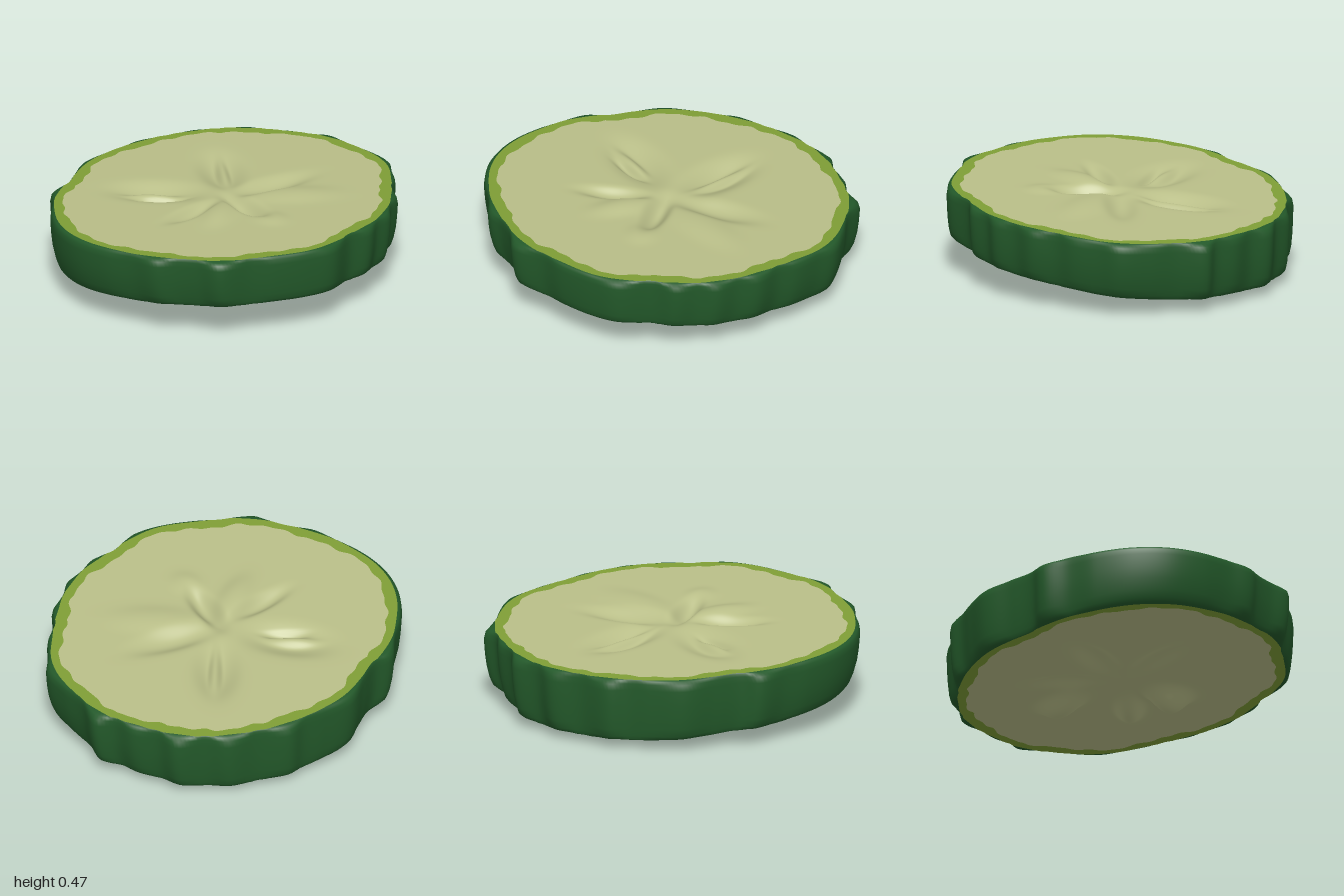
import * as THREE from 'three';

const SEG = 288;

// Knobbly outline of the skin as x, z pairs
const OUTLINE = [
  0.99, 0.12, 0.93, 0.22, 0.86, 0.35, 0.78, 0.43, 0.72, 0.56, 0.62, 0.63, 0.54, 0.73, 0.44, 0.76,
  0.34, 0.83, 0.21, 0.83, 0.04, 0.915, -0.1, 0.905, -0.3, 0.85, -0.42, 0.79, -0.6, 0.75, -0.66, 0.64,
  -0.74, 0.55, -0.83, 0.49, -0.88, 0.36, -0.96, 0.2, -1, 0, -0.97, -0.2, -0.88, -0.38, -0.78, -0.5,
  -0.69, -0.63, -0.58, -0.65, -0.47, -0.73, -0.33, -0.85, -0.15, -0.88, -0.02, -0.89, 0.08, -0.925,
  0.25, -0.87, 0.42, -0.86, 0.52, -0.78, 0.67, -0.73, 0.72, -0.62, 0.82, -0.53, 0.87, -0.42,
  0.96, -0.36, 0.95, -0.2, 0.98, -0.05,
];

// Seed relief: centre x, centre z, direction in degrees, half length, half width, height
const TOP_RELIEF = [
  [-0.26, -0.27, 42, 0.17, 0.09, -0.05],
  [-0.29, -0.27, 36, 0.1, 0.028, 0.035],
  [-0.28, -0.2, 30, 0.09, 0.02, -0.02],
  [0.19, -0.3, -62, 0.17, 0.085, -0.06],
  [0.2, -0.3, -60, 0.13, 0.025, 0.04],
  [-0.28, 0.07, -12, 0.13, 0.04, -0.04],
  [-0.18, 0.18, -40, 0.13, 0.06, 0.025],
  [0.0, 0.17, 90, 0.13, 0.045, -0.06],
  [0.0, 0.4, 90, 0.07, 0.06, 0.015],
  [0.27, 0.02, 4, 0.18, 0.06, -0.04],
  [0.28, 0.2, 32, 0.18, 0.08, 0.02],
];
const BOTTOM_RELIEF = [
  [0.29, -0.27, -43, 0.1, 0.07, -0.09],
  [0.14, 0.29, 64, 0.1, 0.065, -0.115],
  [0.33, 0.12, 20, 0.11, 0.055, -0.075],
  [-0.22, -0.2, 42, 0.16, 0.06, 0.045],
  [0.06, -0.3, -80, 0.14, 0.05, 0.04],
  [-0.25, 0.13, -28, 0.15, 0.06, 0.035],
];

// Sum of stretched, flat-topped bumps
function relief(list, x, z) {
  let sum = 0;
  for (const [cx, cz, deg, length, width, height] of list) {
    const a = THREE.MathUtils.degToRad(deg);
    const u = ((x - cx) * Math.cos(a) + (z - cz) * Math.sin(a)) / length;
    const v = ((z - cz) * Math.cos(a) - (x - cx) * Math.sin(a)) / width;
    const d = u * u + v * v;
    sum += height * Math.exp(-0.5 * d - 0.12 * d * d);
  }
  return sum;
}

// The two cut faces tilt slightly against each other
const topY = (x, z) => 0.437 - 0.02 * x + 0.04 * z;
const bottomY = (x, z) => 0.125 - 0.03 * x + 0.08 * z;

// Skin joined to a closed stack of rings, ordered from top centre to bottom centre
function ringSurface(name, rings, material) {
  const positions = rings.flat(2);
  const index = [];
  for (let j = 0; j < rings.length - 1; j++) {
    for (let i = 0; i < SEG; i++) {
      const n = (i + 1) % SEG;
      const a = j * SEG + i, b = a + SEG, c = j * SEG + n, d = c + SEG;
      index.push(a, c, b, b, c, d);
    }
  }
  const geometry = new THREE.BufferGeometry();
  geometry.setAttribute('position', new THREE.Float32BufferAttribute(positions, 3));
  geometry.setIndex(index);
  geometry.computeVertexNormals();
  const mesh = new THREE.Mesh(geometry, material);
  mesh.name = name;
  return mesh;
}

export function createModel() {
  const paint = (name, color) => {
    const m = new THREE.MeshStandardMaterial({ color });
    m.name = name;
    return m;
  };
  const skinGreen = paint('skin green', 0x23592a);
  const rindGreen = paint('rind green', 0x7f9e36);
  const fleshCream = paint('flesh cream', 0xb9be88);

  // Outer, rim and flesh radii around the slice
  const corners = [];
  for (let i = 0; i < OUTLINE.length; i += 2) corners.push(new THREE.Vector3(OUTLINE[i], 0, OUTLINE[i + 1]));
  const outline = new THREE.CatmullRomCurve3(corners, true).getSpacedPoints(SEG).slice(0, SEG);
  const outer = outline.map((p) => p.length());
  const rim = outer.map((r, i) => {
    let sum = 0;
    for (let k = -9; k <= 9; k++) sum += outer[(i + k + SEG) % SEG];
    return Math.min(sum / 19 - 0.022, r - 0.008);
  });
  const flesh = rim.map((r, i) => {
    const a = (i / SEG) * Math.PI * 2;
    return r - 0.055 + 0.009 * Math.sin(9 * a + 1) + 0.006 * Math.sin(23 * a) + 0.005 * Math.sin(41 * a + 2);
  });

  // One ring at given radii; narrow pulls it in, more across than along
  const ring = (radii, narrow, height) => outline.map((p, i) => {
    const k = radii[i] / outer[i];
    const x = p.x * k * (1 - narrow), z = p.z * k * (1 - narrow * 0.4);
    return [x, height(x, z), z];
  });
  const scaled = (radii, s) => radii.map((r) => r * s);

  const topFace = (x, z) => topY(x, z) + relief(TOP_RELIEF, x, z);
  const bottomFace = (x, z) => Math.max(0, bottomY(x, z) + relief(BOTTOM_RELIEF, x, z));
  const NARROW = 0.055;
  const STEPS = 56;

  const topRings = [], bottomRings = [];
  for (let j = 0; j <= STEPS; j++) {
    topRings.push(ring(scaled(flesh, j / STEPS), 0, topFace));
    bottomRings.push(ring(scaled(flesh, 1 - j / STEPS), NARROW, bottomFace));
  }

  // Side wall: height fraction, share of the way from rim to outline, narrowing
  const wall = [
    [1, 0, 0], [0.985, 0.5, 0], [0.94, 0.85, 0], [0.84, 1, 0], [0.6, 1, 0.006], [0.4, 1, 0.015],
    [0.2, 1, 0.032], [0.08, 0.9, 0.045], [0.02, 0.55, 0.052], [0, 0, NARROW],
  ];
  const wallRings = wall.map(([h, share, narrow]) => ring(
    rim.map((r, i) => THREE.MathUtils.lerp(r, outer[i], share)),
    narrow,
    (x, z) => THREE.MathUtils.lerp(bottomY(x, z), topY(x, z), h),
  ));

  const group = new THREE.Group();
  group.name = 'vegetableSlice';
  group.add(
    ringSurface('topFlesh', topRings, fleshCream),
    ringSurface('topRind', [ring(flesh, 0, topFace), ring(rim, 0, topY)], rindGreen),
    ringSurface('skin', wallRings, skinGreen),
    ringSurface('bottomRind', [ring(rim, NARROW, bottomY), ring(flesh, NARROW, bottomFace)], rindGreen),
    ringSurface('bottomFlesh', bottomRings, fleshCream),
  );
  return group;
}
